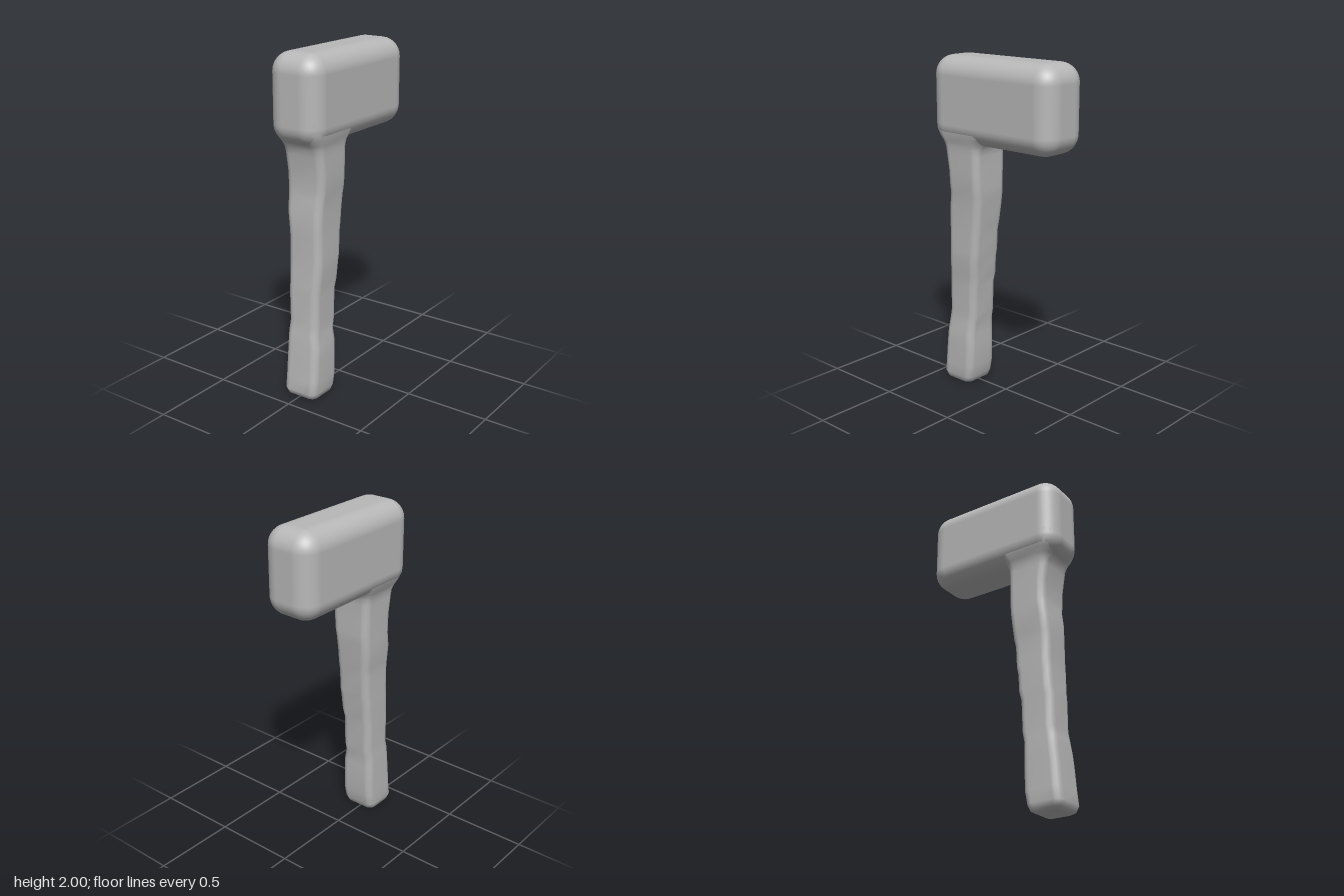
import * as THREE from 'three';
import { RoundedBoxGeometry } from 'three/addons/geometries/RoundedBoxGeometry.js';

// Handle sections from the butt upward: [y, xMin, xMax, zMin, zMax, corner radius]
const SECTIONS = [
  [0, -0.385, -0.235, -0.07, 0.085, 0.03],
  [0.012, -0.405, -0.212, -0.092, 0.108, 0.04],
  [0.045, -0.42, -0.198, -0.102, 0.12, 0.045],
  [0.12, -0.41, -0.184, -0.102, 0.122, 0.045],
  [0.25, -0.4, -0.18, -0.1, 0.12, 0.045],
  [0.33, -0.392, -0.181, -0.1, 0.118, 0.045],
  [0.4, -0.386, -0.18, -0.098, 0.106, 0.045],
  [0.46, -0.375, -0.167, -0.095, 0.106, 0.045],
  [0.64, -0.374, -0.164, -0.098, 0.107, 0.045],
  [0.7, -0.367, -0.15, -0.1, 0.112, 0.045],
  [0.8, -0.363, -0.146, -0.1, 0.12, 0.045],
  [0.85, -0.36, -0.136, -0.1, 0.12, 0.045],
  [0.97, -0.36, -0.131, -0.1, 0.119, 0.045],
  [1.03, -0.36, -0.121, -0.104, 0.119, 0.045],
  [1.12, -0.357, -0.115, -0.114, 0.121, 0.045],
  [1.2, -0.346, -0.106, -0.115, 0.124, 0.045],
  [1.25, -0.345, -0.105, -0.115, 0.132, 0.045],
  [1.34, -0.347, -0.105, -0.117, 0.136, 0.045],
  [1.44, -0.362, -0.105, -0.118, 0.137, 0.045],
  [1.48, -0.37, -0.1, -0.122, 0.139, 0.05],
  [1.51, -0.388, -0.085, -0.132, 0.143, 0.06],
  [1.54, -0.412, -0.06, -0.146, 0.152, 0.07],
  [1.58, -0.436, -0.02, -0.158, 0.158, 0.08],
  [1.64, -0.442, 0.02, -0.162, 0.162, 0.09],
];
const CORNER_STEPS = 5;

// Rounded rectangle at one height
function ring([y, x0, x1, z0, z1, r]) {
  const centres = [[x1 - r, z1 - r], [x0 + r, z1 - r], [x0 + r, z0 + r], [x1 - r, z0 + r]];
  return centres.flatMap(([cx, cz], q) =>
    Array.from({ length: CORNER_STEPS }, (_, k) => {
      const a = (q + k / (CORNER_STEPS - 1)) * Math.PI / 2;
      return [cx + r * Math.cos(a), y, cz + r * Math.sin(a)];
    }));
}

// Skin the sections and close the butt
function handleGeometry() {
  const n = CORNER_STEPS * 4;
  const points = SECTIONS.flatMap(ring);
  const index = [];
  for (let i = 0; i < SECTIONS.length - 1; i++) {
    for (let j = 0; j < n; j++) {
      const a = i * n + j, b = i * n + (j + 1) % n;
      index.push(a, a + n, b, b, a + n, b + n);
    }
  }
  const [y, x0, x1, z0, z1] = SECTIONS[0];
  const centre = points.push([(x0 + x1) / 2, y, (z0 + z1) / 2]) - 1;
  for (let j = 0; j < n; j++) index.push(centre, j, (j + 1) % n);
  const geometry = new THREE.BufferGeometry();
  geometry.setAttribute('position', new THREE.Float32BufferAttribute(points.flat(), 3));
  geometry.setIndex(index);
  geometry.computeVertexNormals();
  return geometry;
}

export function createModel() {
  const model = new THREE.Group();
  model.name = 'mallet';
  const grey = new THREE.MeshStandardMaterial({ color: 0xb8b8b8 });
  grey.name = 'grey';

  // Block head, softly rounded
  const head = new THREE.Mesh(new RoundedBoxGeometry(0.895, 0.5, 0.33, 6, 0.11), grey);
  head.name = 'head';
  head.position.set(-0.002, 1.75, 0);

  // Rough hewn handle, flaring into the head
  const handle = new THREE.Mesh(handleGeometry(), grey);
  handle.name = 'handle';

  model.add(head, handle);
  return model;
}
